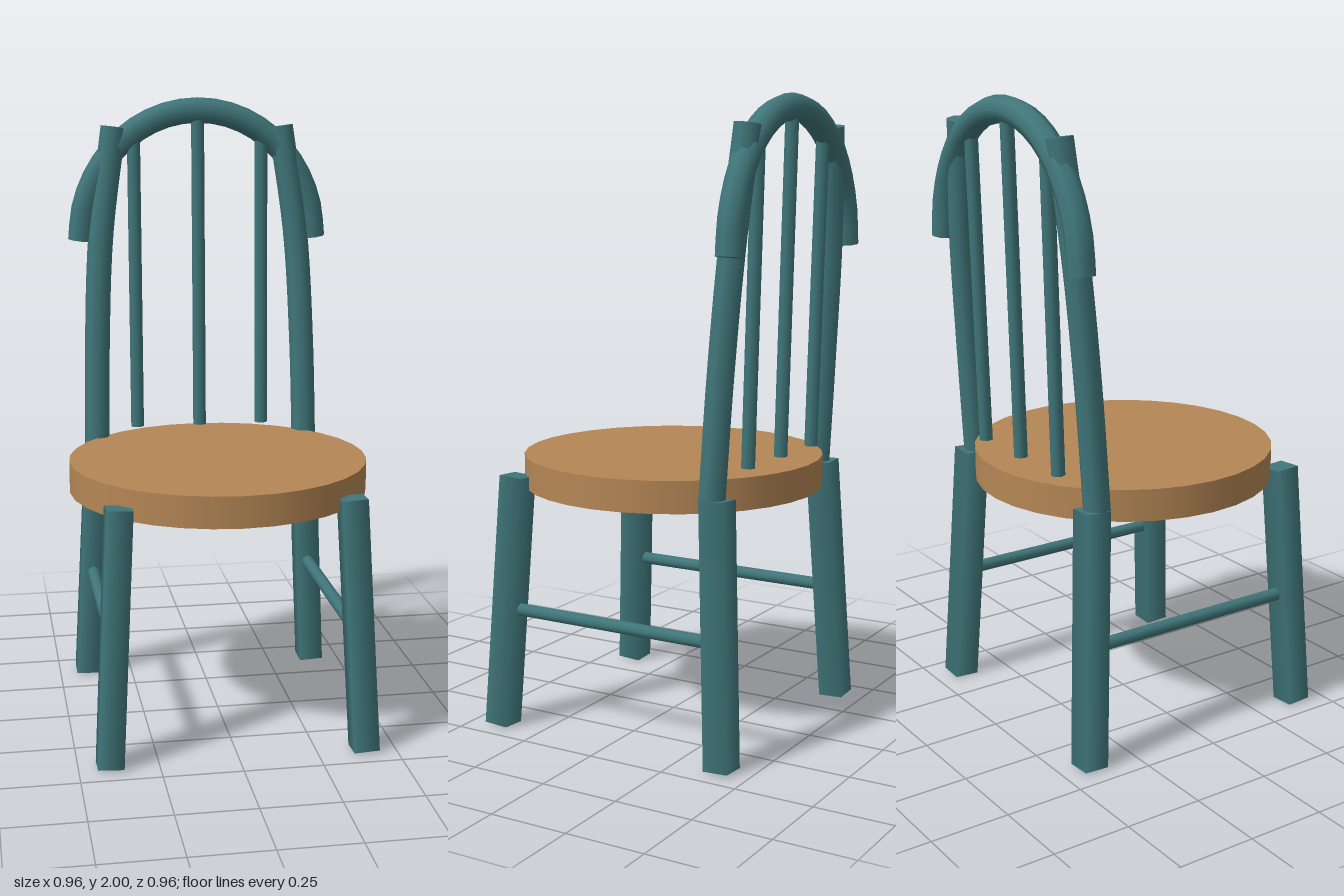
import * as THREE from 'three';

const teal = new THREE.MeshStandardMaterial({ color: 0x40767a });
teal.name = 'teal paint';
const wood = new THREE.MeshStandardMaterial({ color: 0xb48655 });
wood.name = 'wood';

export function createModel() {
  const chair = new THREE.Group();
  chair.name = 'chair';

  const add = (name, geometry, material = teal) => {
    const mesh = new THREE.Mesh(geometry, material);
    mesh.name = name;
    chair.add(mesh);
    return mesh;
  };

  // Straight rod between two points
  const rod = (name, from, to, radius, sides, turn = 0) => {
    const a = new THREE.Vector3(...from), b = new THREE.Vector3(...to);
    const dir = b.clone().sub(a);
    const mesh = add(name, new THREE.CylinderGeometry(radius, radius, dir.length(), sides, 1, false, turn));
    mesh.position.copy(a).add(b).multiplyScalar(0.5);
    mesh.quaternion.setFromUnitVectors(new THREE.Vector3(0, 1, 0), dir.normalize());
  };

  // Bent rod along a curve, closed with a flat cap at each end
  const bentRod = (name, points, steps, radius, sides) => {
    const curve = new THREE.CatmullRomCurve3(points);
    const tube = new THREE.TubeGeometry(curve, steps, radius, sides);
    add(name, tube);
    const pos = tube.attributes.position;
    for (const end of [0, 1]) {
      const ring = [curve.getPointAt(end)];
      for (let i = 0; i < sides; i++) {
        ring.push(new THREE.Vector3().fromBufferAttribute(pos, end * steps * (sides + 1) + i));
      }
      const index = [];
      for (let i = 0; i < sides; i++) {
        const p = 1 + i, q = 1 + (i + 1) % sides;
        index.push(0, ...(end ? [q, p] : [p, q]));
      }
      // Face the cap away from the rod
      const out = curve.getTangentAt(end).multiplyScalar(end ? 1 : -1);
      const normal = ring[index[1]].clone().sub(ring[0]).cross(ring[index[2]].clone().sub(ring[0]));
      if (normal.dot(out) < 0) index.reverse();
      const cap = new THREE.BufferGeometry().setFromPoints(ring);
      cap.setIndex(index);
      cap.computeVertexNormals();
      add(name + 'Cap', cap);
    }
  };

  // Round seat
  add('seat', new THREE.CylinderGeometry(0.48, 0.48, 0.1, 32), wood).position.y = 0.82;

  for (const s of [1, -1]) {
    const side = s > 0 ? 'left' : 'right';
    // Square splayed legs, front and back
    for (const f of [1, -1]) {
      rod(side + (f > 0 ? 'FrontLeg' : 'BackLeg'),
        [s * 0.402, 0.007, f * 0.402], [s * 0.36, 0.815, f * 0.36], 0.0575, 4, Math.PI / 4);
    }
    // Side stretcher
    rod(side + 'Stretcher', [s * 0.38, 0.385, 0.37], [s * 0.38, 0.385, -0.37], 0.021, 8);
    // Curved back post
    bentRod(side + 'BackPost', [
      new THREE.Vector3(s * 0.36, 0.8, -0.342),
      new THREE.Vector3(s * 0.352, 1.18, -0.365),
      new THREE.Vector3(s * 0.332, 1.55, -0.39),
      new THREE.Vector3(s * 0.283, 1.905, -0.412),
    ], 16, 0.042, 8);
  }

  // Arched top rail
  const arch = [];
  for (let i = 0; i <= 12; i++) {
    const a = Math.PI * i / 12;
    arch.push(new THREE.Vector3(0.398 * Math.cos(a), 1.53 + 0.428 * Math.sin(a), -0.416));
  }
  bentRod('topRail', arch, 24, 0.042, 8);

  // Back spindles
  for (const x of [-0.216, 0, 0.216]) {
    rod('spindle', [x, 0.89, -0.386], [x, x ? 1.88 : 1.94, -0.413], 0.022, 8);
  }

  return chair;
}
